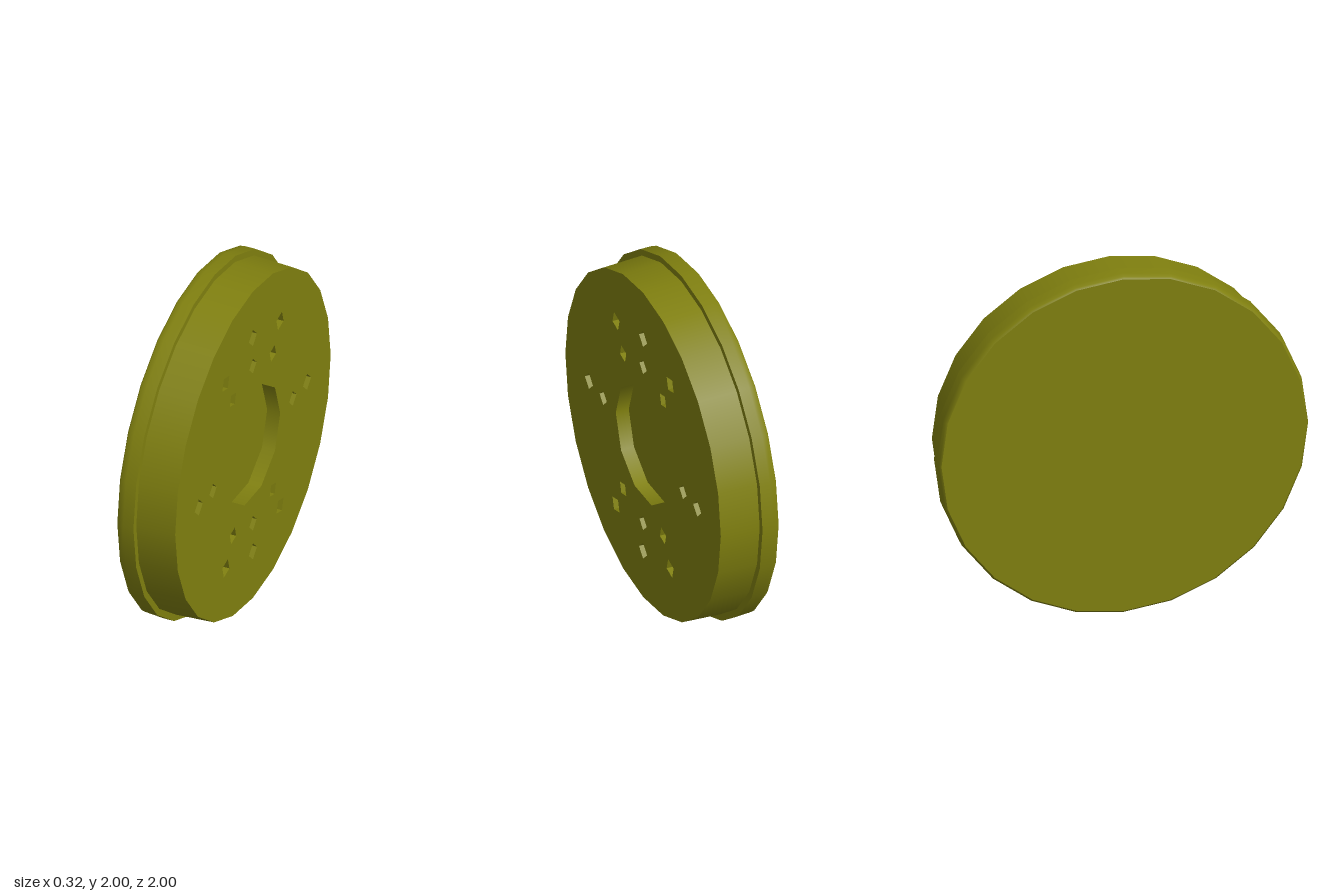
import * as THREE from 'three';

const SIDES = 24, FACE = 0.16, FLOOR = 0.085;
const material = new THREE.MeshStandardMaterial({ color: 0x80800f, side: THREE.DoubleSide });
const flatMaterial = material.clone();
flatMaterial.flatShading = true;

// Regular polygon whose corners match those of a turned lathe or cylinder
function polygon(cx, cy, r, sides, start = 0) {
  return Array.from({ length: sides }, (_, i) => {
    const a = start + (i / sides) * Math.PI * 2;
    return new THREE.Vector2(cx + r * Math.sin(a), cy - r * Math.cos(a));
  });
}

export function createModel() {
  const model = new THREE.Group();
  const disc = new THREE.Group();
  disc.name = 'disc';
  disc.position.y = 1;
  disc.rotation.y = Math.PI / 2; // the disc axis runs along x
  model.add(disc);

  function add(name, geometry, mat = material) {
    const mesh = new THREE.Mesh(geometry, mat);
    mesh.name = name;
    disc.add(mesh);
  }
  // Turned surface from [radius, height] pairs; height runs along the disc axis
  function turned(name, points) {
    const profile = points.map(([r, h]) => new THREE.Vector2(r, h));
    add(name, new THREE.LatheGeometry(profile, SIDES).rotateX(Math.PI / 2));
  }

  // Wide flange behind a slightly narrower, tapering body
  turned('back', [[0, -0.16], [0.985, -0.16]]);
  turned('flangeRim', [[0.985, -0.16], [0.996, -0.15], [1, -0.12], [1, -0.06]]);
  turned('flangeStep', [[1, -0.06], [0.965, -0.06]]);
  turned('bodyRim', [[0.965, -0.06], [0.955, FACE]]);

  // Hub recess and two rings of small blind holes
  const holes = [{ name: 'hubRecess', x: 0, y: 0, r: 0.335, sides: 10, start: Math.PI / 10, mat: material }];
  for (const angle of [0, 60, 90, 120, 180, 240, 270, 300]) {
    for (const ring of [0.49, 0.665]) {
      const a = THREE.MathUtils.degToRad(angle);
      holes.push({
        name: 'smallHole', x: ring * Math.cos(a), y: ring * Math.sin(a),
        r: ring > 0.6 ? 0.05 : 0.045, sides: 4, start: a, mat: flatMaterial,
      });
    }
  }

  // Front face pierced by the openings
  const face = new THREE.Shape(polygon(0, 0, 0.955, SIDES));
  for (const h of holes) face.holes.push(new THREE.Path(polygon(h.x, h.y, h.r, h.sides, h.start)));
  add('face', new THREE.ShapeGeometry(face).translate(0, 0, FACE));

  // Wall and floor of each opening
  for (const h of holes) {
    const depth = FACE - FLOOR;
    const wall = new THREE.CylinderGeometry(h.r, h.r, depth, h.sides, 1, true, h.start)
      .rotateX(Math.PI / 2).translate(h.x, h.y, FLOOR + depth / 2);
    add(h.name + 'Wall', wall, h.mat);
    const floor = new THREE.Shape(polygon(h.x, h.y, h.r, h.sides, h.start));
    add(h.name + 'Floor', new THREE.ShapeGeometry(floor).translate(0, 0, FLOOR));
  }
  return model;
}
